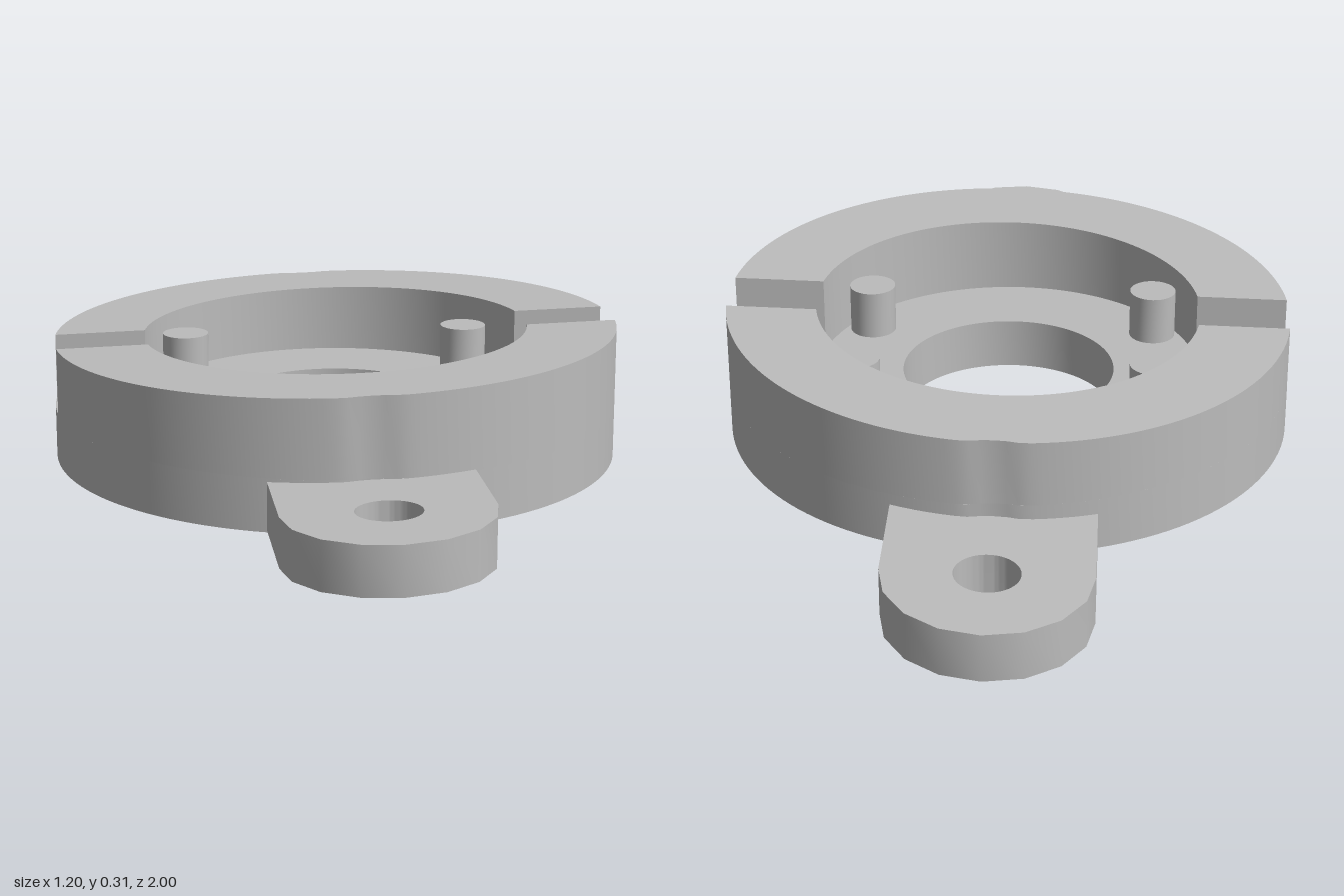
import * as THREE from 'three';
import { toCreasedNormals } from 'three/addons/utils/BufferGeometryUtils.js';

const R = 0.6, CAVITY = 0.41, BORE = 0.227; // ring radii
const FLOOR = 0.14, BOTTOM = 0.03;          // ring heights
const SLOT = 0.067;                         // half width of the cross slot
const LUG_Z = 0.795, LUG_R = 0.205, LUG_HOLE = 0.065;
const TILT = 0.0225;                        // slope of rim and lugs in x and z

const tilt = (x, z) => TILT * (x + z);

// Outer wall point, pushed inward where the lug clearance cuts the ring
function rimPoint(a) {
  const x = R * Math.cos(a);
  let y = R * Math.sin(a);
  if (Math.abs(x) < LUG_R) {
    const limit = LUG_Z - Math.sqrt(LUG_R * LUG_R - x * x);
    if (Math.abs(y) > limit) y = Math.sign(y) * limit;
  }
  return new THREE.Vector2(x, y);
}

// Extrude a plan shape upward from y0 to y1
function slab(shape, y0, y1) {
  const g = new THREE.ExtrudeGeometry(shape, { depth: y1 - y0, bevelEnabled: false, curveSegments: 48 });
  g.rotateX(-Math.PI / 2);
  g.translate(0, y0, 0);
  return g;
}

// Move vertices vertically by a rule
function warp(g, rule) {
  const p = g.attributes.position;
  for (let i = 0; i < p.count; i++) p.setY(i, rule(p.getX(i), p.getY(i), p.getZ(i)));
  return g;
}

function circleHole(x, y, r) {
  return new THREE.Path().absarc(x, y, r, 0, Math.PI * 2, true);
}

export function createModel() {
  const model = new THREE.Group();
  model.name = 'mountingRing';
  const grey = new THREE.MeshStandardMaterial({ color: 0xbcbcbc });
  grey.name = 'grey';

  const body = new THREE.Group();
  body.name = 'ringBody';
  body.position.z = -0.006;
  model.add(body);

  function add(name, geometry) {
    const mesh = new THREE.Mesh(toCreasedNormals(geometry, 0.45), grey);
    mesh.name = name;
    body.add(mesh);
    return mesh;
  }

  // Base disc with the central bore
  const outline = [];
  for (let i = 0; i < 144; i++) outline.push(rimPoint((i / 144) * Math.PI * 2));
  const baseShape = new THREE.Shape(outline);
  baseShape.holes.push(circleHole(0, 0, BORE));
  add('base', slab(baseShape, BOTTOM, FLOOR));

  // Two raised wall halves, split by the slot, with a sloping rim
  const N = 72;
  for (const s of [1, -1]) {
    const pts = [];
    const a0 = Math.asin(SLOT / R), b0 = Math.asin(SLOT / CAVITY);
    for (let i = 0; i <= N; i++) pts.push(rimPoint(a0 + (Math.PI - 2 * a0) * (i / N)));
    for (let i = N; i >= 0; i--) {
      const b = b0 + (Math.PI - 2 * b0) * (i / N);
      pts.push(new THREE.Vector2(CAVITY * Math.cos(b), CAVITY * Math.sin(b)));
    }
    pts.forEach((p) => p.multiplyScalar(s));
    const wall = slab(new THREE.Shape(pts), FLOOR, 0.293);
    warp(wall, (x, y, z) => (y > 0.2 ? y + tilt(x, z) : y));
    add(s > 0 ? 'backWall' : 'frontWall', wall);
  }

  // Four locating pins on the cavity floor
  for (const x of [-0.31, 0.31]) {
    for (const z of [-0.18, 0.18]) {
      const pin = new THREE.CylinderGeometry(0.05, 0.05, 0.115, 32);
      pin.translate(x, FLOOR + 0.0475, z);
      add('pin', pin);
    }
  }

  // Round-ended lugs with screw holes, sharing one tilted plane
  for (const s of [1, -1]) {
    const pts = [[-LUG_R, 0.36], [LUG_R, 0.36]].map(([x, y]) => new THREE.Vector2(x, y));
    for (let i = 0; i <= 8; i++) {
      const a = (i / 8) * Math.PI;
      pts.push(new THREE.Vector2(LUG_R * Math.cos(a), LUG_Z + LUG_R * Math.sin(a)));
    }
    pts.forEach((p) => p.multiplyScalar(s));
    const shape = new THREE.Shape(pts);
    shape.holes.push(circleHole(0, s * LUG_Z, LUG_HOLE));
    const lug = slab(shape, 0.0245, 0.1245);
    warp(lug, (x, y, z) => y + tilt(x, z));
    add(s > 0 ? 'backLug' : 'frontLug', lug).position.x = 0.002;
  }

  return model;
}
